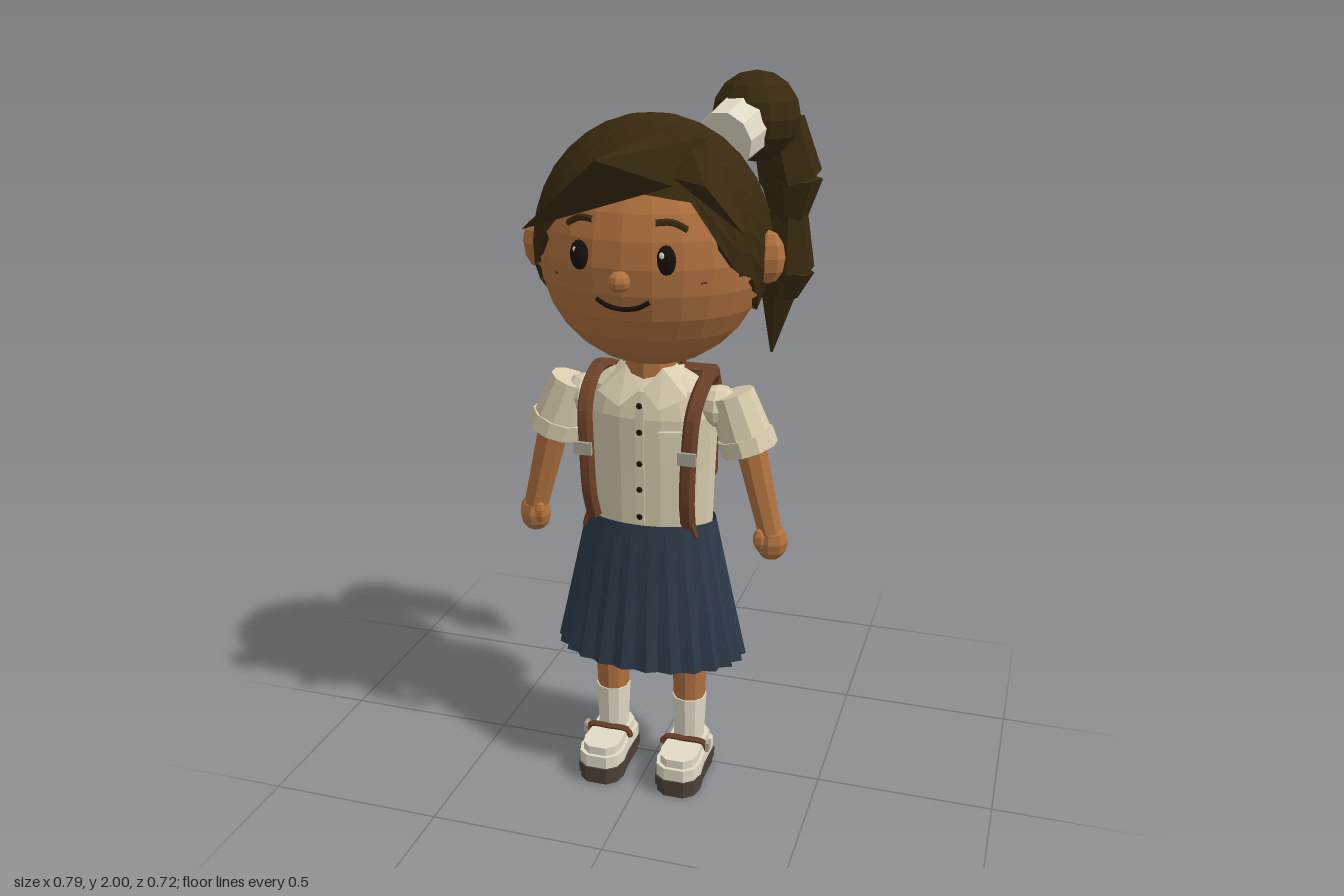
import * as THREE from 'three';
import { ConvexGeometry } from 'three/addons/geometries/ConvexGeometry.js';

const V = (x, y, z) => new THREE.Vector3(x, y, z);

function material(name, color, double = false) {
  const m = new THREE.MeshStandardMaterial({ color });
  m.name = name;
  if (double) m.side = THREE.DoubleSide;
  return m;
}

// Facet normals for the low-poly look
function flat(geometry) {
  const g = geometry.index ? geometry.toNonIndexed() : geometry;
  g.computeVertexNormals();
  return g;
}

export function createModel() {
  const model = new THREE.Group();
  model.name = 'schoolgirl';

  const skin = material('skin', 0xb0713f);
  const hair = material('dark hair', 0x38290f, true);
  const shirt = material('cream cloth', 0xd8ccae);
  const skirtBlue = material('navy cloth', 0x2d3a49, true);
  const leather = material('brown leather', 0x6b4029);
  const white = material('off white', 0xe2dbc6);
  const soleGrey = material('sole', 0x4a4038);
  const dark = material('dark detail', 0x17110c);
  const metal = material('buckle', 0xa9a294);

  const add = (name, geometry, mat, x = 0, y = 0, z = 0) => {
    const mesh = new THREE.Mesh(flat(geometry), mat);
    mesh.name = name;
    mesh.position.set(x, y, z);
    model.add(mesh);
    return mesh;
  };
  const ball = (name, mat, p, r, w = 8, h = 6) =>
    add(name, new THREE.SphereGeometry(1, w, h).scale(...r), mat, ...p);
  const box = (name, mat, size, p) => add(name, new THREE.BoxGeometry(...size), mat, ...p);
  const hull = (name, mat, pts) => add(name, new ConvexGeometry(pts.map(p => V(...p))), mat);
  const tube = (name, mat, pts, r, steps = 10, sides = 6) =>
    add(name, new THREE.TubeGeometry(new THREE.CatmullRomCurve3(pts.map(p => V(...p))), steps, r, sides), mat);
  // Tapered cylinder from point a to point b
  const limb = (name, mat, a, b, ra, rb, sides = 8) => {
    const from = V(...a), dir = V(...b).sub(from);
    const mesh = add(name, new THREE.CylinderGeometry(rb, ra, dir.length(), sides), mat);
    mesh.position.copy(from).addScaledVector(dir, 0.5);
    mesh.quaternion.setFromUnitVectors(V(0, 1, 0), dir.normalize());
    return mesh;
  };

  // Head and neck
  ball('head', skin, [0, 1.56, 0.03], [0.305, 0.31, 0.265], 24, 14);
  limb('neck', skin, [0, 1.18, 0.04], [0, 1.32, 0.04], 0.072, 0.068, 10);
  const faceZ = (x, y) => 0.03 + 0.262 * Math.sqrt(1 - (x / 0.305) ** 2 - ((y - 1.56) / 0.31) ** 2);
  const onFace = (x, y, lift = 0) => [x, y, faceZ(x, y) + lift];
  ball('nose', skin, onFace(0, 1.533, 0.015), [0.03, 0.027, 0.03]);
  tube('mouth', dark, [[-0.07, 1.48], [-0.04, 1.463], [0, 1.457], [0.04, 1.463], [0.07, 1.48]].map(p => onFace(...p)), 0.007);

  // Hair cap: hairline height as a function of the angle from the front
  const hairline = [[0, 1.75], [38, 1.72], [47, 1.6], [55, 1.55], [66, 1.53], [76, 1.48], [90, 1.415], [180, 1.415]];
  const hairlineAt = deg => {
    const i = Math.max(1, hairline.findIndex(h => deg <= h[0] + 1e-3));
    const [a, b] = [hairline[i - 1], hairline[i]];
    return THREE.MathUtils.mapLinear(deg, a[0], b[0], a[1], b[1]);
  };
  const rows = 11;
  const cap = new THREE.SphereGeometry(1, 32, rows);
  const { position: capPos, uv: capUv } = cap.attributes;
  for (let i = 0; i < capPos.count; i++) {
    const phi = capUv.getX(i) * Math.PI * 2, v = 1 - capUv.getY(i);
    const dx = -Math.cos(phi), dz = Math.sin(phi);
    const deg = Math.abs(Math.atan2(dx, dz)) * 180 / Math.PI;
    const maxTheta = Math.acos((hairlineAt(Math.min(deg, 180)) - 1.57) / 0.34);
    const theta = maxTheta * Math.min(1, v * rows / (rows - 1));
    const r = v > 0.99 ? 0.9 : 1; // last row folds inwards as the rim
    capPos.setXYZ(i, dx * Math.sin(theta) * 0.32 * r, 1.57 + Math.cos(theta) * 0.34, 0.03 + dz * Math.sin(theta) * 0.267 * r);
  }
  add('hairCap', cap, hair);

  // Swept fringe
  hull('rightFringe', hair, [[0.08, 1.9, 0.18], [0.2, 1.88, 0.2], [0.12, 1.905, 0.175], [-0.04, 1.835, 0.362],
    [-0.27, 1.64, 0.27], [0.13, 1.77, 0.285], [-0.12, 1.77, 0.265]]);
  hull('leftFringe', hair, [[0.12, 1.9, 0.175], [0.19, 1.88, 0.18], [0.13, 1.79, 0.285], [0.22, 1.78, 0.32],
    [0.31, 1.66, 0.28], [0.29, 1.7, 0.24]]);

  // Side ponytail: tie, bun and three tapering locks
  limb('hairTie', white, [0.17, 1.835, -0.055], [0.195, 1.865, -0.15], 0.078, 0.085, 10);
  ball('bun', hair, [0.215, 1.88, -0.21], [0.122, 0.12, 0.125], 12, 8);
  limb('upperLock', hair, [0.265, 1.86, -0.25], [0.3, 1.71, -0.27], 0.075, 0.09, 7);
  limb('upperLockEnd', hair, [0.3, 1.71, -0.27], [0.3, 1.6, -0.27], 0.09, 0.05, 7);
  limb('middleLock', hair, [0.3, 1.64, -0.27], [0.295, 1.46, -0.285], 0.05, 0.08, 7);
  limb('middleLockEnd', hair, [0.295, 1.46, -0.285], [0.28, 1.38, -0.285], 0.08, 0.05, 7);
  limb('lockTip', hair, [0.28, 1.42, -0.285], [0.26, 1.21, -0.285], 0.062, 0.004, 6);

  // Shirt body
  const profile = [[0.178, 0.8], [0.184, 0.98], [0.19, 1.12], [0.165, 1.195], [0.12, 1.225], [0.07, 1.25]];
  add('shirt', new THREE.LatheGeometry(profile.map(p => new THREE.Vector2(...p)), 20).scale(1, 1, 0.56), shirt, 0, 0, 0.042);
  box('placket', shirt, [0.024, 0.34, 0.008], [0, 0.99, 0.145]);
  for (const y of [0.84, 0.92, 0.995, 1.085, 1.16]) ball('button', dark, [0, y, 0.151], [0.009, 0.009, 0.005], 6, 4);
  box('pocket', shirt, [0.07, 0.085, 0.012], [0.09, 1.045, 0.136]).rotation.y = 0.3;
  box('pocketHem', shirt, [0.076, 0.014, 0.016], [0.09, 1.085, 0.137]).rotation.y = 0.3;

  // Pleated skirt: every second column is pushed out, more so at the hem
  const skirt = new THREE.CylinderGeometry(1, 1, 0.42, 48, 3, true);
  const { position: skPos, uv: skUv } = skirt.attributes;
  for (let i = 0; i < skPos.count; i++) {
    const t = 1 - skUv.getY(i);
    const pleat = 1 + (Math.round(skUv.getX(i) * 48) % 2 ? 0.035 : -0.035) * t;
    skPos.setX(i, skPos.getX(i) * (0.186 + 0.084 * t) * pleat);
    skPos.setZ(i, skPos.getZ(i) * (0.108 + 0.06 * t) * pleat);
  }
  add('skirt', skirt, skirtBlue, 0, 0.605, 0.042);

  // Backpack: side profile (depth, height) extruded across the back
  const slab = (name, pts, width) => {
    const g = new THREE.ExtrudeGeometry(new THREE.Shape(pts.map(p => new THREE.Vector2(...p))),
      { depth: width - 0.02, bevelThickness: 0.01, bevelSize: 0.008, bevelOffset: -0.008, bevelSegments: 1 });
    return add(name, g.translate(0, 0, 0.01 - width / 2).rotateY(Math.PI / 2), leather);
  };
  slab('backpackBody', [[0.03, 0.88], [0.05, 0.866], [0.15, 0.866], [0.165, 0.88], [0.165, 1.14], [0.135, 1.195], [0.03, 1.205]], 0.28);
  slab('backpackFlap', [[0.04, 1.19], [0.145, 1.08], [0.173, 1.08], [0.173, 1.145], [0.14, 1.203], [0.04, 1.213]], 0.29);
  slab('backpackPocket', [[0.15, 0.905], [0.19, 0.905], [0.2, 0.92], [0.2, 1.03], [0.185, 1.055], [0.15, 1.055]], 0.21);
  slab('pocketFlap', [[0.15, 1.02], [0.206, 1.02], [0.206, 1.04], [0.19, 1.065], [0.15, 1.065]], 0.22);
  tube('backpackHandle', leather, [[-0.045, 1.19, -0.115], [-0.04, 1.245, -0.115], [0, 1.257, -0.115], [0.04, 1.245, -0.115], [0.045, 1.19, -0.115]], 0.009, 12);

  // Shoe layer: rounded outline extruded downwards from its top
  const shoeLayer = (name, mat, x, top, height, halfW, halfL) => {
    const side = [[0.55, -1], [0.95, -0.75], [0.92, 0], [1, 0.5], [0.85, 0.82], [0.45, 1]];
    const outline = [...side, ...side.map(([a, b]) => [-a, b]).reverse()];
    const shape = new THREE.Shape(outline.map(([a, b]) => new THREE.Vector2(a * halfW, b * halfL)));
    const g = new THREE.ExtrudeGeometry(shape, { depth: height, bevelEnabled: false }).rotateX(Math.PI / 2);
    return add(name, g, mat, x, top, 0.092);
  };

  // Paired parts
  for (const [side, s] of [['left', 1], ['right', -1]]) {
    // Face
    const ex = s * 0.113;
    ball(side + 'Ear', skin, [s * 0.315, 1.56, 0.045], [0.045, 0.07, 0.037]);
    ball(side + 'Eye', dark, onFace(ex, 1.588, 0.006), [0.025, 0.038, 0.014], 10, 8);
    ball(side + 'EyeGlint', white, onFace(ex - 0.008, 1.602, 0.019), [0.007, 0.009, 0.004], 6, 4);
    tube(side + 'Brow', hair, [onFace(s * 0.08, 1.675), onFace(s * 0.12, 1.676), onFace(s * 0.155, 1.658)], 0.009, 6);
    limb(side + 'Wisp', hair, [s * 0.285, 1.54, 0.12], onFace(s * 0.19, 1.525, 0), 0.012, 0.002, 4);

    // Collar flap
    hull(side + 'Collar', shirt, [[s * 0.003, 1.2, 0.13], [s * 0.05, 1.255, 0.1], [s * 0.125, 1.185, 0.125],
      [s * 0.055, 1.155, 0.158], [s * 0.09, 1.25, 0.03], [s * 0.05, 1.18, 0.08]]);

    // Sleeve, arm and hand
    limb(side + 'Sleeve', shirt, [s * 0.225, 1.185, 0.045], [s * 0.27, 1.06, 0.047], 0.062, 0.074, 10);
    limb(side + 'Cuff', shirt, [s * 0.265, 1.075, 0.047], [s * 0.28, 1.032, 0.047], 0.078, 0.079, 10);
    ball(side + 'Shoulder', shirt, [s * 0.19, 1.145, 0.043], [0.06, 0.058, 0.062]);
    limb(side + 'Arm', skin, [s * 0.278, 1.06, 0.05], [s * 0.343, 0.8, 0.052], 0.045, 0.035);
    ball(side + 'Hand', skin, [s * 0.347, 0.772, 0.05], [0.047, 0.056, 0.042]);
    ball(side + 'Thumb', skin, [s * 0.32, 0.785, 0.08], [0.018, 0.032, 0.018], 6, 5);

    // Backpack strap and buckle
    tube(side + 'Strap', leather, [[s * 0.135, 0.83, 0.14], [s * 0.138, 0.9, 0.165], [s * 0.143, 1.03, 0.17], [s * 0.15, 1.15, 0.155],
      [s * 0.155, 1.205, 0.09], [s * 0.155, 1.22, 0.02], [s * 0.145, 1.2, -0.05], [s * 0.13, 1.17, -0.1]], 0.022, 24);
    box(side + 'StrapBuckle', metal, [0.05, 0.035, 0.01], [s * 0.145, 1.04, 0.194]);
    limb(side + 'StrapTail', leather, [s * 0.14, 0.86, 0.155], [s * 0.16, 0.8, 0.15], 0.008, 0.008, 4);

    // Leg, sock and shoe
    const lx = s * 0.117;
    limb(side + 'Leg', skin, [lx, 0.22, 0.045], [lx, 0.6, 0.045], 0.045, 0.058, 10);
    limb(side + 'Sock', white, [lx, 0.09, 0.045], [lx, 0.25, 0.045], 0.043, 0.05, 10);
    shoeLayer(side + 'SoleBottom', soleGrey, lx, 0.025, 0.025, 0.064, 0.118);
    shoeLayer(side + 'Sole', soleGrey, lx, 0.053, 0.03, 0.07, 0.123);
    shoeLayer(side + 'ShoeLower', white, lx, 0.09, 0.038, 0.066, 0.118);
    shoeLayer(side + 'ShoeUpper', white, lx, 0.115, 0.026, 0.056, 0.108);
    tube(side + 'ShoeStrap', leather, [[-0.068, 0.1], [-0.058, 0.121], [0, 0.124], [0.058, 0.121], [0.068, 0.1]]
      .map(([x, y]) => [lx + x, y, 0.092]), 0.009, 12, 5);
    box(side + 'ShoeBuckle', metal, [0.01, 0.028, 0.028], [lx + s * 0.07, 0.112, 0.09]);
  }
  return model;
}
